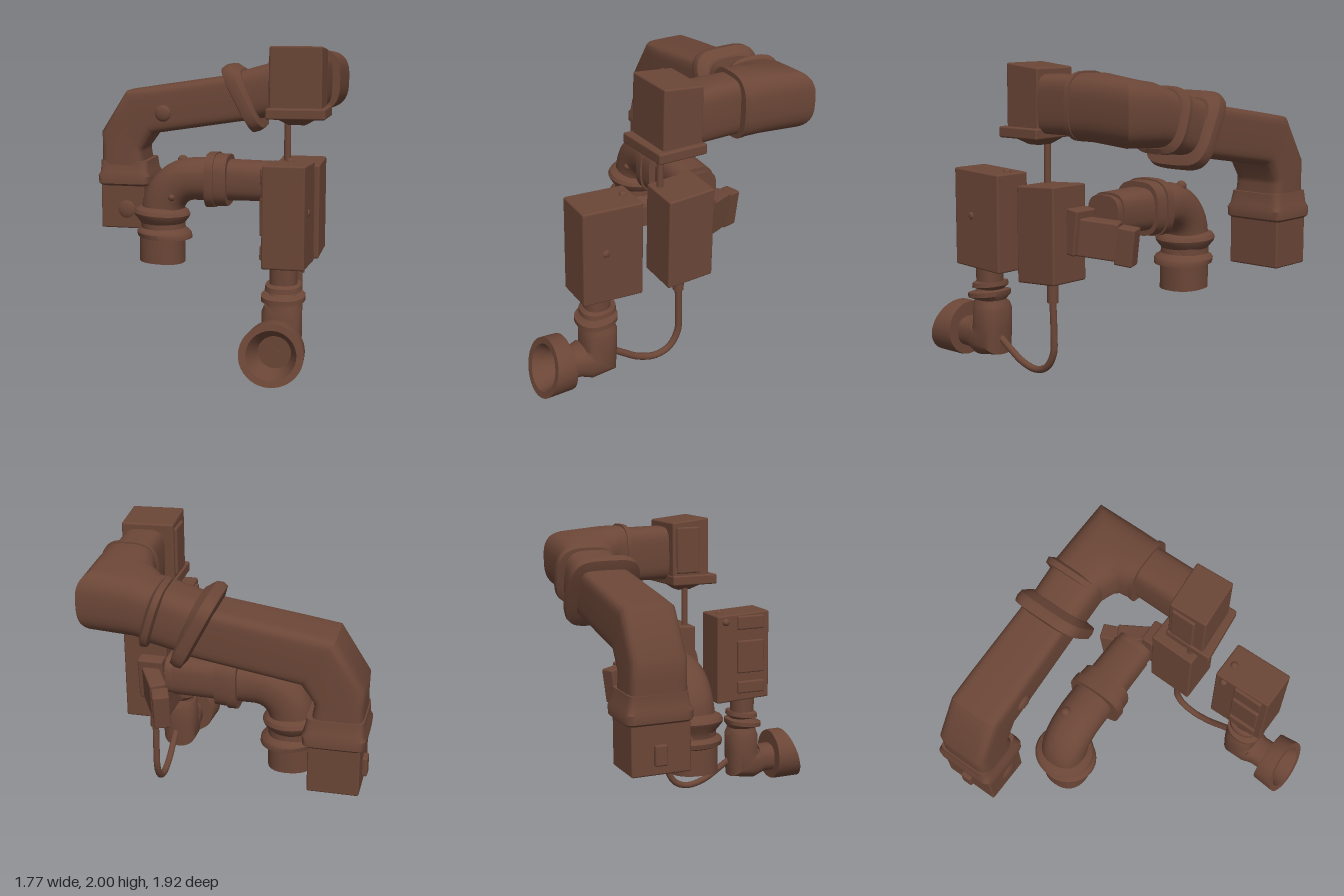
import * as THREE from 'three';
import { toCreasedNormals } from 'three/addons/utils/BufferGeometryUtils.js';
import { RoundedBoxGeometry } from 'three/addons/geometries/RoundedBoxGeometry.js';

const brown = new THREE.MeshStandardMaterial({ color: 0x6b4637 });
brown.name = 'brown';

// Maps in-plane coordinates (p, q) and out-of-plane w to x, y, z.
const planes = {
  xy: (p, q, w) => [p, q, w],
  zy: (p, q, w) => [w, q, p],
  xz: (p, q, w) => [p, w, q],
};

// Skins rings [p, q, tilt, half width across plane, half height in plane, w shift].
// A power of 2 gives round sections, higher powers give squarer ones.
function loft(plane, w, rings, power = 2, sides = 32) {
  const map = planes[plane], pos = [], idx = [];
  const pw = t => Math.sign(t) * Math.abs(t) ** (2 / power);
  for (const [p, q, t, a, b, dw = 0] of rings) {
    for (let i = 0; i < sides; i++) {
      const th = (i / sides) * Math.PI * 2;
      const v = pw(Math.sin(th)) * b;
      pos.push(...map(p - Math.sin(t) * v, q + Math.cos(t) * v, w + dw + pw(Math.cos(th)) * a));
    }
  }
  const last = rings.length - 1;
  for (const r of [rings[0], rings[last]]) pos.push(...map(r[0], r[1], w + (r[5] ?? 0)));
  const c0 = rings.length * sides, c1 = c0 + 1;
  for (let i = 0; i < sides; i++) {
    const j = (i + 1) % sides;
    for (let k = 0; k < last; k++) {
      const A = k * sides + i, B = k * sides + j;
      idx.push(A, B, A + sides, B, B + sides, A + sides);
    }
    idx.push(c0, j, i, c1, last * sides + i, last * sides + j);
  }
  // Turn the faces outward if the enclosed volume is negative.
  let volume = 0;
  const P = i => new THREE.Vector3().fromArray(pos, i * 3);
  for (let i = 0; i < idx.length; i += 3) volume += P(idx[i]).dot(P(idx[i + 1]).cross(P(idx[i + 2])));
  if (volume < 0) idx.reverse();
  const g = new THREE.BufferGeometry();
  g.setAttribute('position', new THREE.Float32BufferAttribute(pos, 3));
  g.setIndex(idx);
  return toCreasedNormals(g, 0.6);
}

// Rounded block between limits, leaning in z along x and in y along z.
function block([x0, x1], [y0, y1], [z0, z1], leanZ = 0, leanY = 0, r = 0.012) {
  const g = new RoundedBoxGeometry(x1 - x0, y1 - y0, z1 - z0, 2, r);
  const p = g.attributes.position;
  for (let i = 0; i < p.count; i++) {
    const x = p.getX(i), z = p.getZ(i);
    p.setXYZ(i, x, p.getY(i) + leanY * z, z + leanZ * x);
  }
  g.translate((x0 + x1) / 2, (y0 + y1) / 2, (z0 + z1) / 2);
  return g;
}

export function createModel() {
  const model = new THREE.Group();
  const add = (name, geometry) => {
    const m = new THREE.Mesh(geometry, brown);
    m.name = name;
    model.add(m);
    return m;
  };
  const dome = (name, x, y, z, r, sx = 1, sy = 1, sz = 1) => {
    add(name, new THREE.SphereGeometry(r, 16, 12)).position.set(x, y, z);
    model.children.at(-1).scale.set(sx, sy, sz);
  };
  const H = Math.PI / 2;

  // Large square duct: foot, collar, bent arm
  add('ductFoot', block([-0.86, -0.54], [0.64, 1.0], [-0.92, -0.54]));
  add('ductCollar', loft('xy', -0.735, [
    [-0.695, 0.95, H, 0.2, 0.17], [-0.695, 0.965, H, 0.215, 0.19],
    [-0.695, 1.02, H, 0.215, 0.195], [-0.695, 1.05, H, 0.2, 0.18],
    [-0.7, 1.13, H, 0.185, 0.175],
  ], 9, 48));
  add('ductArm', loft('xy', -0.728, [
    [-0.7, 1.0, H, 0.185, 0.17], [-0.715, 1.2, H - 0.06, 0.182, 0.15],
    [-0.715, 1.28, 1.2, 0.18, 0.165], [-0.585, 1.48, 0.58, 0.178, 0.183],
    [-0.46, 1.5, 0.15, 0.178, 0.167], [0.18, 1.6, 0.15, 0.165, 0.165],
  ], 6, 48));
  add('ductFlange', loft('xy', -0.72, [
    [0.12, 1.575, 0.48, 0.18, 0.2], [0.135, 1.58, 0.48, 0.235, 0.255],
    [0.165, 1.595, 0.48, 0.24, 0.262], [0.2, 1.61, 0.48, 0.235, 0.25],
    [0.225, 1.62, 0.4, 0.19, 0.19],
  ], 4, 48));
  add('ductNeck', loft('xy', -0.72, [
    [0.16, 1.6, 0.35, 0.175, 0.18], [0.46, 1.68, 0.2, 0.18, 0.185],
  ], 3.5));
  add('elbowFlange', loft('xy', -0.745, [
    [0.39, 1.655, 0.3, 0.17, 0.17], [0.4, 1.66, 0.3, 0.2, 0.205],
    [0.435, 1.67, 0.3, 0.205, 0.21], [0.455, 1.675, 0.3, 0.17, 0.18],
  ], 3));
  dome('armStud', -0.4, 1.48, -0.555, 0.06, 1, 1, 0.45);
  dome('footDome', -0.67, 0.78, -0.555, 0.075, 1, 1, 0.4);
  add('footLatch', block([-0.89, -0.85], [0.7, 0.83], [-0.78, -0.7]));

  // Upper elbow, turning toward the front
  add('upperElbow', loft('xz', 1.745, [
    [0.42, -0.72, 0, 0.18, 0.185, -0.07], [0.52, -0.7, 0.25, 0.195, 0.2, -0.04],
    [0.685, -0.685, Math.PI / 4, 0.205, 0.28, -0.02],
    [0.69, -0.5, 1.4, 0.205, 0.187], [0.695, -0.38, H, 0.205, 0.175],
  ], 3, 48));
  add('elbowRim', loft('xz', 1.75, [
    [0.695, -0.4, H, 0.21, 0.185], [0.695, -0.37, H, 0.21, 0.188],
  ], 3));
  add('headPipe', loft('xz', 1.75, [
    [0.695, -0.39, H, 0.18, 0.135], [0.695, -0.05, H, 0.185, 0.138],
  ], 4));

  // Head block with flange, tapered underside and rod
  add('head', block([0.5, 0.835], [1.57, 1.985], [-0.09, 0.18], -0.08, 0.1));
  add('headFlange', block([0.485, 0.865], [1.535, 1.605], [-0.1, 0.23], -0.11));
  add('headUnderside', loft('zy', 0.665, [
    [0.06, 1.55, H, 0.16, 0.14], [0.05, 1.49, H, 0.06, 0.05],
  ], 6));
  add('headSidePlate', block([0.483, 0.52], [1.62, 1.94], [-0.05, 0.12]));
  add('rod', new THREE.CylinderGeometry(0.022, 0.022, 0.3, 16)).position.set(0.6, 1.36, 0.05);

  // Two hanging boxes
  add('rearBox', block([0.53, 0.82], [0.63, 1.245], [-0.215, 0.105], 0, -0.06));
  add('frontBox', block([0.55, 0.815], [0.655, 1.295], [0.285, 0.695], 0, 0.05));
  for (const [y0, y1] of [[0.71, 0.8], [0.86, 1.1], [1.18, 1.28]]) {
    add('frontBoxPlate', block([0.53, 0.57], [y0, y1], [0.44, 0.65]));
  }
  dome('frontBoxScrew', 0.67, 1.285, 0.35, 0.026);
  dome('frontBoxSideScrew', 0.55, 1.24, 0.35, 0.026);
  dome('frontBoxRightScrew', 0.813, 1.0, 0.54, 0.025, 0.5);

  // Jointed clamp behind the rear box
  const clamps = [
    ['clampBase', 0.62, 0.965, -0.245, 0.17, 0.29, 0.09, 0],
    ['clampArm', 0.57, 0.925, -0.365, 0.11, 0.24, 0.25, 0.5],
    ['clampTip', 0.485, 0.885, -0.52, 0.11, 0.24, 0.12, 0.35],
  ];
  for (const [name, x, y, z, w, h, d, yaw] of clamps) {
    const m = add(name, new RoundedBoxGeometry(w, h, d, 2, 0.012));
    m.position.set(x, y, z);
    m.rotation.set(-0.12, yaw, 0);
  }

  // Lower pipe: capped end, flanges, elbow, rings and open stub
  const Z = -0.315, Y = 1.058;
  add('lowerPipeEnd', loft('xy', Z, [
    [0.1, Y, 0, 0.14, 0.14], [0.43, Y, 0, 0.135, 0.135], [0.43, Y - 0.003, 0, 0.125, 0.12],
    [0.44, Y - 0.003, 0, 0.128, 0.125], [0.48, Y - 0.003, 0, 0.128, 0.125],
  ], 3));
  add('lowerFlange', loft('xy', -0.305, [
    [0, Y, 0, 0.193, 0.187], [0.06, Y, 0, 0.193, 0.187],
    [0.06, Y, 0, 0.18, 0.178], [0.145, Y, 0, 0.175, 0.175],
  ], 3, 40));
  const bend = [[0.03, Y, 0, 0.15, 0.147]];
  for (let i = 0; i <= 8; i++) {
    const t = (i / 8) * H;
    bend.push([-0.1 - 0.235 * Math.sin(t), Y - 0.235 + 0.235 * Math.cos(t), t, 0.15, 0.147]);
  }
  bend.push([-0.335, 0.7, H, 0.155, 0.15]);
  add('lowerElbow', loft('xy', Z, bend, 2.3));
  add('elbowRings', loft('xy', -0.31, [
    [-0.335, 0.86, H - 0.05, 0.14, 0.14], [-0.34, 0.835, H - 0.05, 0.19, 0.185],
    [-0.342, 0.81, H - 0.05, 0.202, 0.198], [-0.342, 0.79, H - 0.05, 0.195, 0.19],
    [-0.335, 0.745, H, 0.158, 0.155], [-0.332, 0.71, H, 0.16, 0.155],
    [-0.325, 0.69, H - 0.05, 0.195, 0.18], [-0.325, 0.675, H - 0.05, 0.203, 0.192],
    [-0.32, 0.645, H - 0.05, 0.2, 0.19], [-0.33, 0.635, H, 0.15, 0.15],
  ], 2, 40));
  add('openStub', loft('xy', -0.305, [
    [-0.338, 0.67, H, 0.155, 0.157], [-0.338, 0.47, H - 0.04, 0.155, 0.157],
    [-0.338, 0.47, H - 0.04, 0.11, 0.11], [-0.338, 0.56, H, 0.1, 0.1],
  ], 2.3));
  dome('elbowStud', -0.24, 0.94, -0.18, 0.025);
  dome('elbowTopStud', -0.21, 1.175, -0.38, 0.035);

  // Spout below the front box: neck, rings, elbow, flared bell
  add('spoutNeck', loft('zy', 0.665, [
    [0.535, 0.68, H, 0.088, 0.088], [0.535, 0.55, H, 0.085, 0.085],
    [0.53, 0.545, H - 0.12, 0.112, 0.112], [0.53, 0.515, H - 0.12, 0.116, 0.116],
    [0.53, 0.5, H, 0.085, 0.085], [0.535, 0.49, H - 0.1, 0.09, 0.095],
    [0.54, 0.48, H - 0.12, 0.138, 0.132], [0.54, 0.45, H - 0.12, 0.138, 0.132],
    [0.53, 0.43, H, 0.1, 0.1], [0.525, 0.38, H, 0.115, 0.115],
  ], 2.3));
  add('spoutElbow', loft('zy', 0.655, [
    [0.525, 0.41, H, 0.11, 0.1], [0.525, 0.37, H, 0.125, 0.115],
    [0.525, 0.25, H, 0.125, 0.115], [0.535, 0.16, 2.25, 0.125, 0.15],
    [0.62, 0.16, 2.95, 0.12, 0.125], [0.68, 0.17, Math.PI, 0.105, 0.1],
    [0.78, 0.175, Math.PI, 0.105, 0.1],
  ], 2.5));
  add('spoutBell', loft('zy', 0.655, [
    [0.755, 0.19, 0, 0.18, 0.18], [0.77, 0.19, 0, 0.185, 0.185],
    [0.91, 0.19, 0.27, 0.2, 0.19], [0.908, 0.188, 0.27, 0.155, 0.15],
    [0.82, 0.18, 0, 0.115, 0.112], [0.775, 0.175, 0, 0.1, 0.1],
  ], 2, 40));
  const pin = add('spoutPin', new THREE.BoxGeometry(0.032, 0.032, 0.02));
  pin.position.set(0.67, 0.17, 0.78);
  pin.rotation.z = Math.PI / 4;

  // Hose from the rear box to the spout
  const hosePoints = [[0.5, -0.058], [0.3, -0.065], [0.16, -0.06], [0.06, 0], [0.025, 0.1],
    [0.055, 0.23], [0.12, 0.34], [0.18, 0.43]];
  const curve = new THREE.CatmullRomCurve3(hosePoints.map(([y, z]) => new THREE.Vector3(0.67, y, z)));
  add('hose', new THREE.TubeGeometry(curve, 48, 0.023, 12));
  add('hoseFitting', new THREE.CylinderGeometry(0.036, 0.036, 0.15, 16)).position.set(0.67, 0.565, -0.058);

  return model;
}
